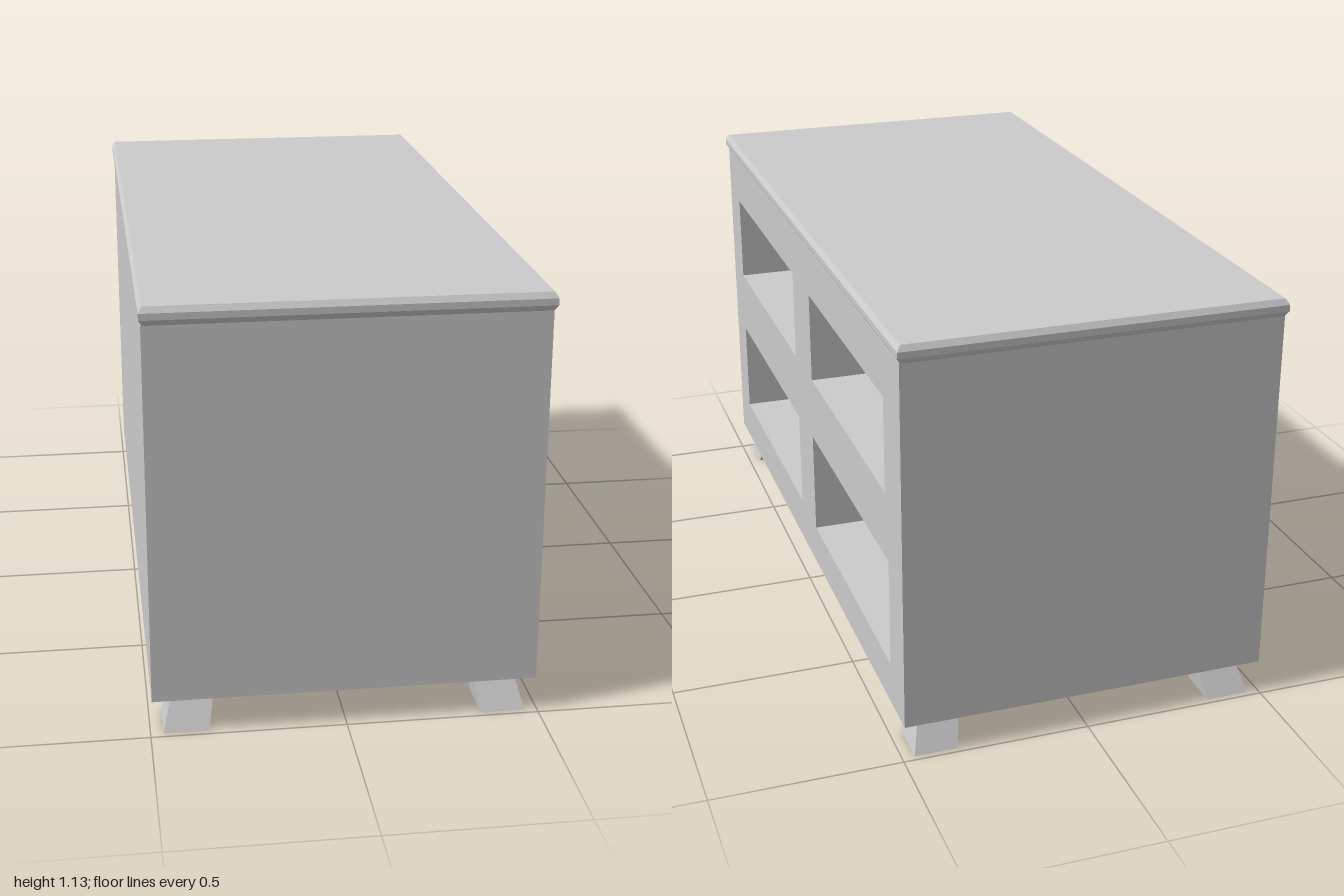
import * as THREE from 'three';

const material = new THREE.MeshStandardMaterial({ color: 0xcccccc });

function addMesh(parent, name, geometry) {
  const mesh = new THREE.Mesh(geometry, material);
  mesh.name = name;
  parent.add(mesh);
  return mesh;
}

// Box between two corners, without its +x face; inward turns it inside out.
function openBox(min, max, inward = false) {
  const size = max.map((v, i) => v - min[i]);
  const geometry = new THREE.BoxGeometry(...size);
  const index = Array.from(geometry.index.array).slice(6);
  geometry.setIndex(inward ? index.reverse() : index);
  geometry.clearGroups();
  geometry.translate(...max.map((v, i) => (v + min[i]) / 2));
  const flat = geometry.toNonIndexed();
  flat.computeVertexNormals();
  return flat;
}

function rectangle(PathType, x0, x1, y0, y1) {
  return new PathType([[x0, y0], [x1, y0], [x1, y1], [x0, y1]].map(p => new THREE.Vector2(...p)));
}

// Splayed foot: a box whose top and bottom corners go to different rectangles.
function footGeometry(sx, sz, height) {
  const top = { x: [0.335, 0.443], z: [0.825, 0.937] };
  const bottom = { x: [0.351, 0.467], z: [0.866, 0.984] };
  const geometry = new THREE.BoxGeometry(1, 1, 1).toNonIndexed();
  const pos = geometry.attributes.position;
  for (let i = 0; i < pos.count; i++) {
    const up = pos.getY(i) > 0;
    const r = up ? top : bottom;
    const outerX = pos.getX(i) * sx > 0 ? 1 : 0;
    const outerZ = pos.getZ(i) * sz > 0 ? 1 : 0;
    pos.setXYZ(i, sx * r.x[outerX], up ? height : 0, sz * r.z[outerZ]);
  }
  geometry.computeVertexNormals();
  return geometry;
}

export function createModel() {
  const model = new THREE.Group();
  model.name = 'cabinet';

  const left = -0.495, face = 0.493, back = -0.4;
  const base = 0.093, lidBase = 1.08, half = 0.988;

  // Openings in the +x face: z from, z to, y from, y to
  const openings = [
    ['upperFrontCompartment', 0.1, 0.855, 0.685, 0.94],
    ['upperBackCompartment', -0.845, -0.095, 0.685, 0.94],
    ['lowerFrontCompartment', 0.09, 0.863, 0.217, 0.495],
    ['lowerBackCompartment', -0.866, -0.08, 0.209, 0.503],
  ];

  // Carcass and its pierced face
  const body = new THREE.Group();
  body.name = 'body';
  model.add(body);
  addMesh(body, 'carcass', openBox([left, base, -half], [face, lidBase, half]));

  const faceShape = rectangle(THREE.Shape, -half, half, base, lidBase);
  for (const [, z0, z1, y0, y1] of openings) {
    faceShape.holes.push(rectangle(THREE.Path, -z1, -z0, y0, y1));
  }
  const faceGeometry = new THREE.ShapeGeometry(faceShape);
  faceGeometry.rotateY(Math.PI / 2);
  faceGeometry.translate(face, 0, 0);
  addMesh(body, 'openFace', faceGeometry);

  // Compartment interiors
  for (const [name, z0, z1, y0, y1] of openings) {
    addMesh(body, name, openBox([back, y0, z0], [face, y1, z1], true));
  }

  // Top board with chamfered edges
  const bevel = 0.009, chamfer = 0.015;
  const lid = new THREE.ExtrudeGeometry(
    rectangle(THREE.Shape, -0.5 + bevel, 0.5 - bevel, -1 + bevel, 1 - bevel),
    { depth: 0.017, bevelEnabled: true, bevelSegments: 1, bevelSize: bevel, bevelThickness: chamfer },
  );
  lid.rotateX(-Math.PI / 2);
  lid.translate(0, lidBase + chamfer, 0);
  addMesh(model, 'topBoard', lid);

  // Four splayed feet
  for (const sx of [1, -1]) {
    for (const sz of [1, -1]) {
      const name = (sz > 0 ? 'front' : 'back') + (sx > 0 ? 'Left' : 'Right') + 'Foot';
      addMesh(model, name, footGeometry(sx, sz, base));
    }
  }

  return model;
}
